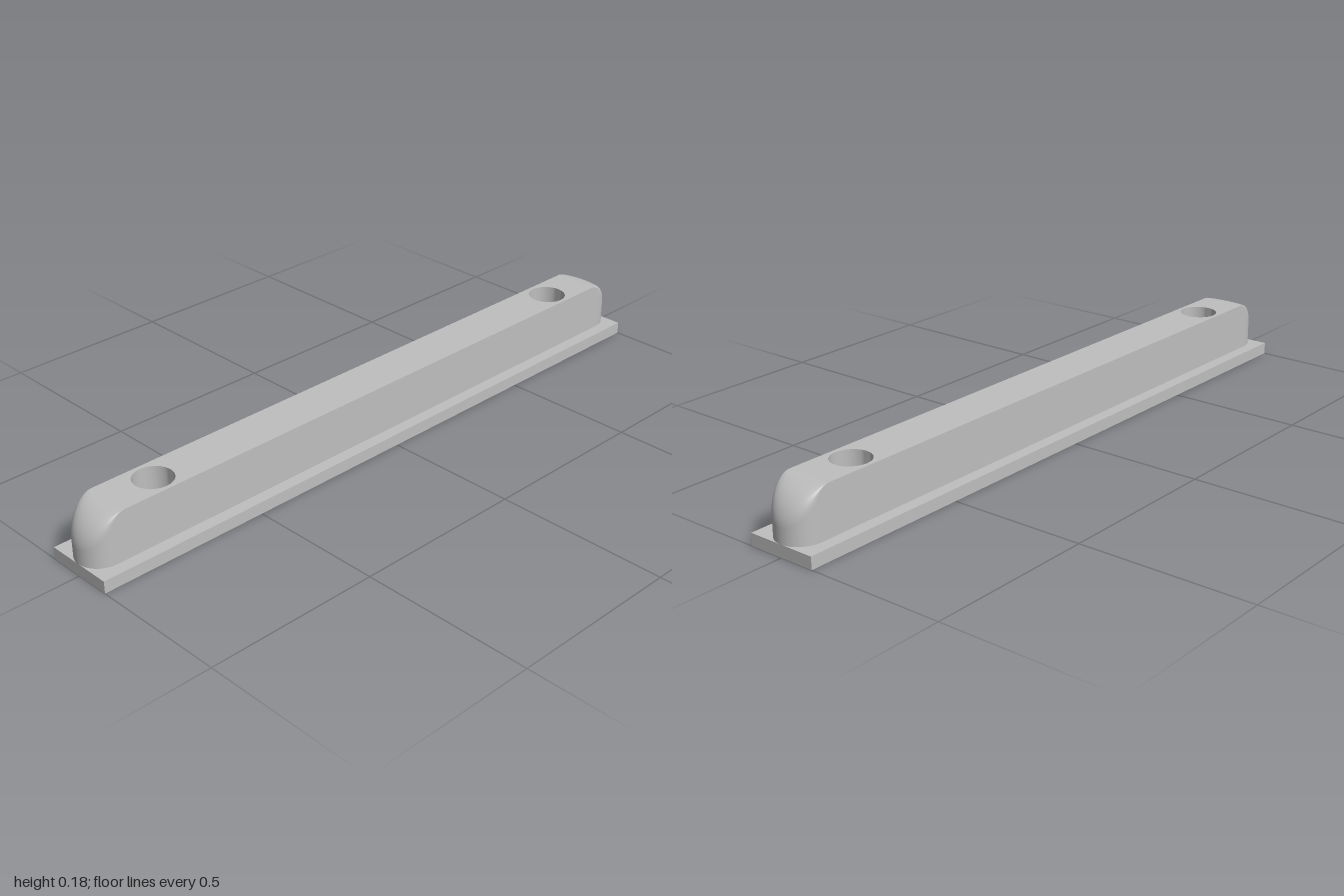
import * as THREE from 'three';
import { toCreasedNormals } from 'three/addons/utils/BufferGeometryUtils.js';

const BASE_H = 0.035, TOP = 0.178;
const BASE_HALF = 0.103, RAIL_HALF = 0.067;
const STRAIGHT = 0.9;                 // where the flat top of the rail ends
const HOLE_X = 0.76, BORE = 0.03, COUNTERBORE = 0.055, SEAT_Y = 0.08;

// Slab lying flat between y0 and y1, pierced by two round holes
function piercedSlab(halfX, halfZ, y0, y1, holeR) {
  const shape = new THREE.Shape([
    new THREE.Vector2(-halfX, -halfZ), new THREE.Vector2(halfX, -halfZ),
    new THREE.Vector2(halfX, halfZ), new THREE.Vector2(-halfX, halfZ),
  ]);
  for (const s of [-1, 1]) {
    shape.holes.push(new THREE.Path().absarc(s * HOLE_X, 0, holeR, 0, Math.PI * 2, true));
  }
  const g = new THREE.ExtrudeGeometry(shape, { depth: y1 - y0, bevelEnabled: false, curveSegments: 20 });
  g.rotateX(-Math.PI / 2).translate(0, y0, 0);
  return toCreasedNormals(g, 0.6);
}

// Rounded rail end: half-round in plan, its upper rim rolling over into the top
function railEnd() {
  const N = 24, M = 10;
  const columns = [[STRAIGHT, RAIL_HALF]];
  for (let i = 0; i <= N; i++) {
    const a = Math.PI / 2 - (Math.PI * i) / N;
    columns.push([1 - RAIL_HALF + RAIL_HALF * Math.cos(a), RAIL_HALF * Math.sin(a)]);
  }
  columns.push([STRAIGHT, -RAIL_HALF]);

  const pos = [], index = [], rows = M + 2;
  columns.forEach(([x, z], i) => {
    const r = x - STRAIGHT;
    for (let j = 0; j <= M; j++) {
      const t = (Math.PI / 2) * (j / M);
      pos.push(STRAIGHT + r * Math.sin(t), TOP - r * (1 - Math.cos(t)), z);
    }
    pos.push(x, BASE_H, z);
    if (i === columns.length - 1) return;
    for (let j = 0; j < rows - 1; j++) {
      const a = i * rows + j, b = a + 1, c = a + rows, d = c + 1;
      index.push(a, b, c, c, b, d);
    }
  });
  const g = new THREE.BufferGeometry();
  g.setAttribute('position', new THREE.Float32BufferAttribute(pos, 3));
  g.setIndex(index);
  g.computeVertexNormals();
  return g;
}

export function createModel() {
  const grey = new THREE.MeshStandardMaterial({ color: 0xbfbfbf });
  grey.name = 'plain grey';
  const model = new THREE.Group();
  model.name = 'mountingRail';
  const add = (name, geometry) => {
    const mesh = new THREE.Mesh(geometry, grey);
    mesh.name = name;
    model.add(mesh);
    return mesh;
  };

  add('basePlate', piercedSlab(1, BASE_HALF, 0, BASE_H, BORE));
  add('railBody', piercedSlab(STRAIGHT, RAIL_HALF, BASE_H, TOP, COUNTERBORE));

  const end = railEnd();
  add('leftRailEnd', end);
  add('rightRailEnd', end).rotation.y = Math.PI;

  // Screw seats: a flat ring at the bottom of each counterbore and the bore below it
  const ring = new THREE.RingGeometry(BORE, COUNTERBORE, 40).rotateX(-Math.PI / 2);
  const bore = new THREE.CylinderGeometry(BORE, BORE, SEAT_Y - BASE_H, 40, 1, true);
  bore.scale(-1, 1, 1);
  // turn the tube inside out so its inner wall faces the axis
  const n = bore.attributes.normal;
  for (let i = 0; i < n.count; i++) n.setXYZ(i, -Math.abs(n.getX(i)) * Math.sign(bore.attributes.position.getX(i)), 0, -n.getZ(i));
  for (const s of [-1, 1]) {
    const side = s > 0 ? 'left' : 'right';
    add(side + 'ScrewSeat', ring).position.set(s * HOLE_X, SEAT_Y, 0);
    add(side + 'ScrewBore', bore).position.set(s * HOLE_X, (SEAT_Y + BASE_H) / 2, 0);
  }
  return model;
}
